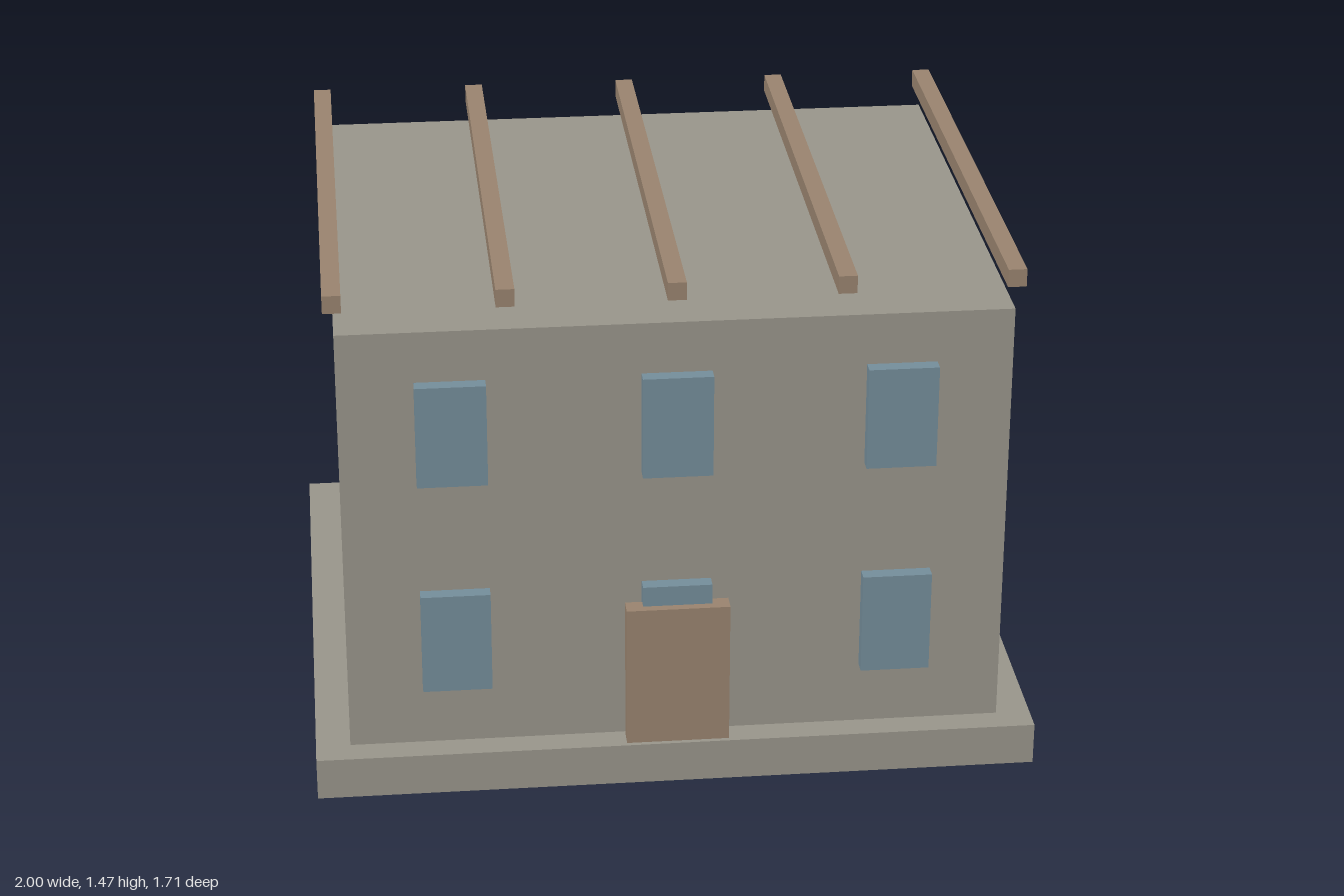
import * as THREE from 'three';

export function createModel() {
  const model = new THREE.Group();
  model.name = 'house';

  const material = (name, color) => {
    const m = new THREE.MeshStandardMaterial({ color });
    m.name = name;
    return m;
  };
  const stone = material('stone', 0x9a978c);
  const wood = material('wood', 0x9b8570);
  const glass = material('glass', 0x768f9c);

  // Box given by size, centre x and z, and the height of its underside
  const box = (name, mat, [w, h, d], x, bottom, z) => {
    const mesh = new THREE.Mesh(new THREE.BoxGeometry(w, h, d), mat);
    mesh.name = name;
    mesh.position.set(x, bottom + h / 2, z);
    model.add(mesh);
  };

  // Foundation and main block
  box('foundation', stone, [2, 0.12, 1.706], 0, 0, 0);
  box('walls', stone, [1.81, 1.241, 1.552], 0, 0.12, 0);

  // Door stands just in front of the wall
  box('door', wood, [0.284, 0.414, 0.052], 0, 0.12, 0.814);

  // Two rows of three windows on the front and back
  for (const side of [1, -1])
    for (const bottom of [0.3, 0.924])
      for (const x of [-0.605, 0, 0.605])
        box(side > 0 ? 'frontWindow' : 'backWindow', glass, [0.19, 0.292, 0.04], x, bottom, side * 0.796);

  // Beams above the roof
  for (let i = -2; i <= 2; i++)
    box('roofBeam', wood, [0.05, 0.05, 1.552], i * 0.4535, 1.424, 0);

  return model;
}
